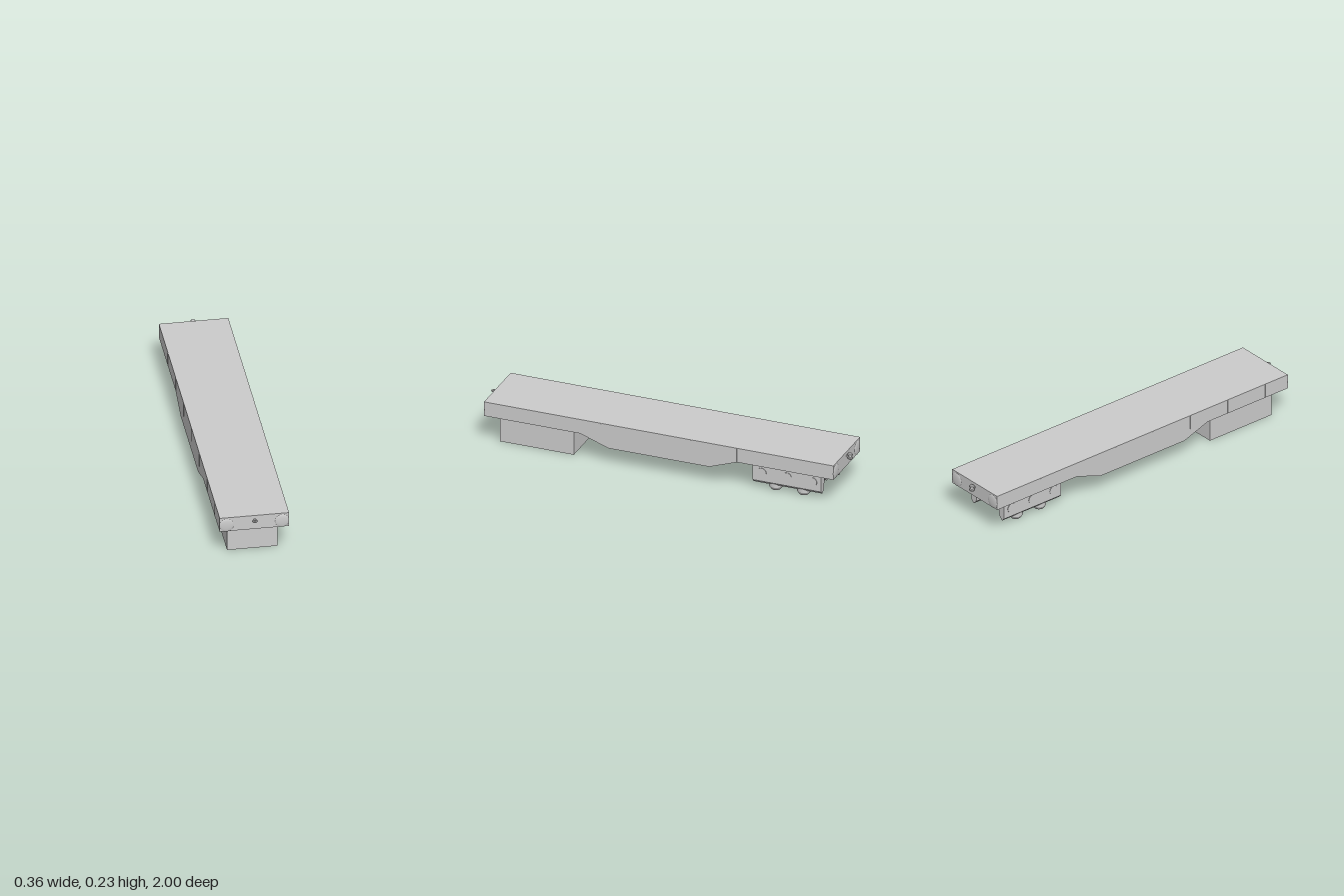
import * as THREE from 'three';

const mat = new THREE.MeshStandardMaterial({ color: 0xcccccc, side: THREE.DoubleSide });

function add(parent, name, geo, x = 0, y = 0, z = 0) {
  const m = new THREE.Mesh(geo, mat);
  m.name = name;
  m.position.set(x, y, z);
  parent.add(m);
  return m;
}
const box = (w, h, d) => new THREE.BoxGeometry(w, h, d);
const outline = pts => new THREE.Shape(pts.map(p => new THREE.Vector2(...p)));

// Turned part around the vertical axis; each ring keeps its own hard edges
const turned = (pts, n = 28) => {
  const g = new THREE.LatheGeometry(pts.map(p => new THREE.Vector2(...p)), n).toNonIndexed();
  g.computeVertexNormals();
  return g;
};

function makeTruck() {
  const truck = new THREE.Group();
  truck.name = 'rearTruck';
  const len = 0.38, zc = -0.69;

  // Tapered side frames with a bevelled lower lip
  const section = [[0.118, 0.155], [0.13, 0.135], [0.13, 0.046], [0.114, 0.03], [0.094, 0.05], [0.078, 0.155]];
  for (const s of [-1, 1]) {
    const g = new THREE.ExtrudeGeometry(outline(section.map(([x, y]) => [s * x, y])),
      { depth: len, bevelEnabled: false });
    add(truck, 'sideFrame', g, 0, 0, zc - len / 2);

    // Round bosses on the outside of the frame
    for (const z of [-0.55, -0.69, -0.83]) {
      const boss = add(truck, 'frameBoss', new THREE.CylinderGeometry(0.026, 0.026, 0.006, 24), s * 0.13, 0.095, z);
      boss.rotation.z = Math.PI / 2;
    }
    // Feet that carry the truck
    for (const z of [-0.613, -0.768]) {
      add(truck, 'foot', turned([[0, 0.004], [0.014, 0.004], [0.016, 0], [0.025, 0], [0.032, 0.01],
        [0.037, 0.018], [0.037, 0.046], [0.03, 0.052], [0.03, 0.09], [0, 0.09]]), s * 0.088, 0, z);
    }
  }

  // Upper plate and cross members
  add(truck, 'truckPlate', box(0.2, 0.035, 0.34), 0, 0.1375, zc);
  for (const z of [-0.54, -0.69, -0.84]) add(truck, 'crossBeam', box(0.18, 0.055, 0.045), 0, 0.095, z);
  for (const z of [-0.613, -0.768]) {
    const axle = add(truck, 'axle', new THREE.CylinderGeometry(0.016, 0.016, 0.2, 20), 0, 0.075, z);
    axle.rotation.z = Math.PI / 2;
  }
  // Round stubs between the frames at the rear end
  for (const x of [-0.045, 0.045]) {
    const stub = add(truck, 'endStub', new THREE.CylinderGeometry(0.024, 0.024, 0.05, 24), x, 0.1, -0.855);
    stub.rotation.x = Math.PI / 2;
  }
  return truck;
}

export function createModel() {
  const car = new THREE.Group();
  car.name = 'flatWagon';

  // Deck
  add(car, 'deck', box(0.36, 0.08, 1.935), 0, 0.195, 0);

  // Deep centre sill with sloping ends, extruded across the width
  const belly = new THREE.ExtrudeGeometry(
    outline([[-0.44, 0.157], [-0.28, 0.1], [0.28, 0.1], [0.44, 0.157]]),
    { depth: 0.36, bevelEnabled: false });
  belly.translate(0, 0, -0.18).rotateY(Math.PI / 2);
  add(car, 'belly', belly);

  // Front support block
  add(car, 'frontBlock', box(0.262, 0.156, 0.41), 0, 0.078, 0.695);

  // Thin stake strips along the sides
  for (const s of [-1, 1]) {
    for (let i = -3; i <= 3; i++) add(car, 'sideStrip', box(0.002, 0.076, 0.006), s * 0.1805, 0.195, 0.07 + i * 0.25);
  }

  // Shallow domed pads on both ends
  for (const x of [-0.144, 0.144]) {
    for (const s of [-1, 1]) {
      const pad = add(car, 'endPad', new THREE.SphereGeometry(0.037, 32, 16), x, 0.19, s * 0.9665);
      pad.scale.z = 0.16;
    }
  }

  // Front coupling eye
  const eye = add(car, 'couplingEye', new THREE.TorusGeometry(0.0095, 0.004, 10, 28), 0, 0.212, 0.9865);
  eye.rotation.x = Math.PI / 2;
  add(car, 'eyeShank', box(0.01, 0.007, 0.012), 0, 0.212, 0.97);

  // Rear coupling pin: a waisted spool on a short shank
  add(car, 'couplingPin', turned([[0, -0.016], [0.01, -0.016], [0.0135, -0.012], [0.0135, -0.006], [0.008, -0.004],
    [0.008, 0.004], [0.0135, 0.006], [0.0135, 0.012], [0.01, 0.016], [0, 0.016]]), 0, 0.212, -0.9865);
  add(car, 'pinShank', box(0.012, 0.008, 0.02), 0, 0.212, -0.972);

  car.add(makeTruck());
  return car;
}
